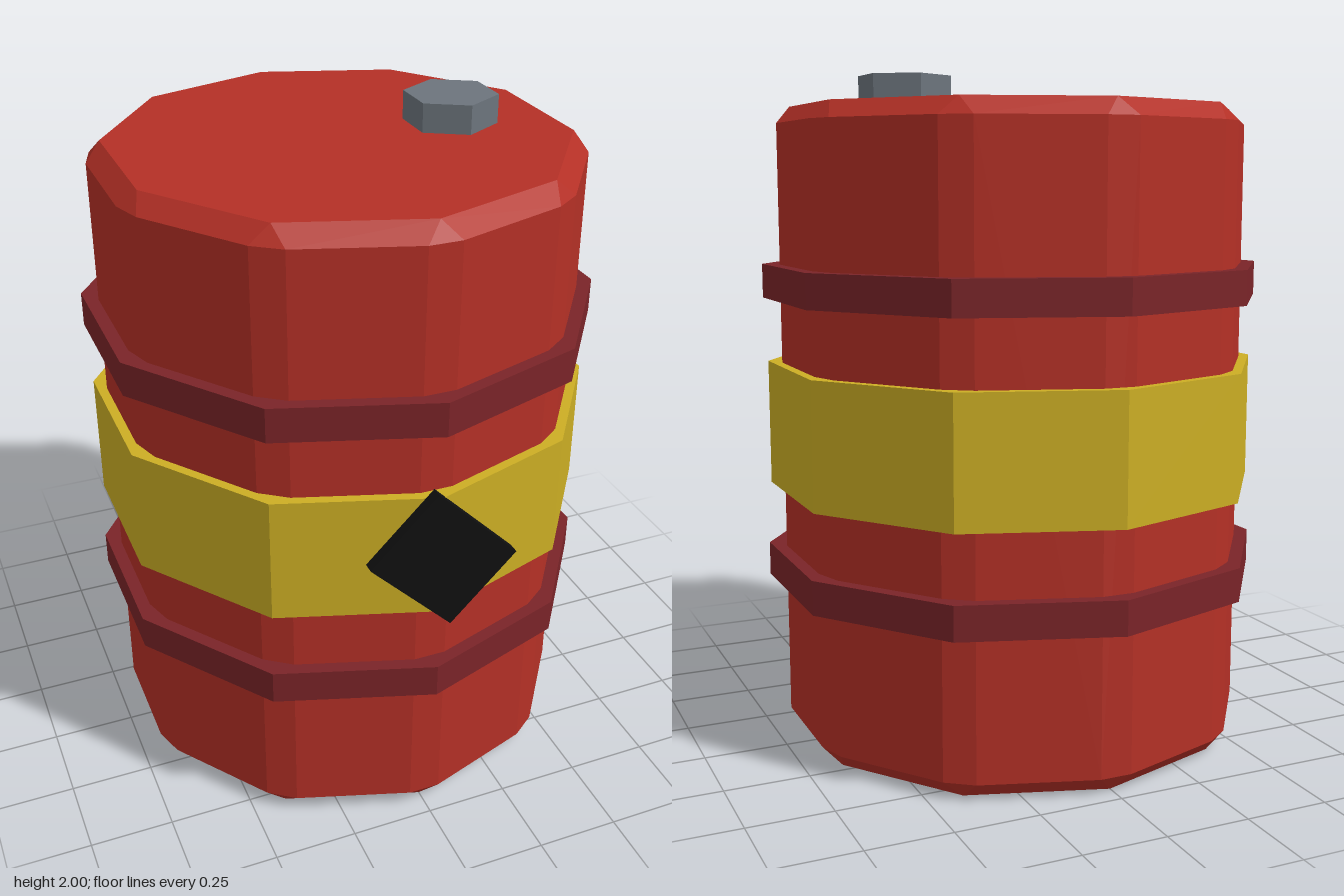
import * as THREE from 'three';
import { ConvexGeometry } from 'three/addons/geometries/ConvexGeometry.js';

const SIDES = 10;
const CENTER_Z = -0.007;

function material(name, color) {
  const m = new THREE.MeshStandardMaterial({ color, flatShading: true });
  m.name = name;
  return m;
}

// Ten-sided drum with a chamfer on the rims and on the upright edges
function drumGeometry(radius, height, bevel) {
  const points = [];
  const step = (Math.PI * 2) / SIDES;
  const apothem = radius * Math.cos(step / 2);
  const capRadius = (apothem - bevel) / Math.cos(step / 2);
  const halfFlat = radius * Math.sin(step / 2) - bevel;
  for (let i = 0; i < SIDES; i++) {
    const corner = i * step;
    for (const y of [0, height]) {
      points.push(new THREE.Vector3(Math.sin(corner) * capRadius, y, Math.cos(corner) * capRadius));
    }
    const mid = corner + step / 2;
    for (const y of [bevel, height - bevel]) {
      for (const s of [-halfFlat, halfFlat]) {
        points.push(new THREE.Vector3(
          Math.sin(mid) * apothem + Math.cos(mid) * s, y,
          Math.cos(mid) * apothem - Math.sin(mid) * s));
      }
    }
  }
  return new ConvexGeometry(points);
}

export function createModel() {
  const group = new THREE.Group();
  group.name = 'barrel';

  const red = material('red paint', 0xb43026);
  const darkRed = material('dark red hoop', 0x7a2428);
  const yellow = material('yellow band', 0xccae24);
  const grey = material('grey metal', 0x6c747c);
  const black = material('black label', 0x101010);

  function add(name, geometry, mat, x, y, z) {
    const mesh = new THREE.Mesh(geometry, mat);
    mesh.name = name;
    mesh.position.set(x, y, z);
    group.add(mesh);
    return mesh;
  }

  // Drum body
  add('body', drumGeometry(0.7255, 1.915, 0.05), red, 0, 0, CENTER_Z);

  // Two raised hoops
  const hoop = new THREE.CylinderGeometry(0.766, 0.766, 0.102, SIDES);
  add('lowerHoop', hoop, darkRed, 0, 0.526, CENTER_Z);
  add('upperHoop', hoop, darkRed, 0, 1.396, CENTER_Z);

  // Wide warning band
  add('warningBand', new THREE.CylinderGeometry(0.755, 0.755, 0.38, SIDES), yellow, 0, 0.96, CENTER_Z);

  // Hexagonal filler cap on the lid
  add('fillerCap', new THREE.CylinderGeometry(0.138, 0.138, 0.1, 6), grey, 0.348, 1.95, CENTER_Z);

  // Turned rectangular label plate on the front
  const label = add('label', new THREE.BoxGeometry(0.346, 0.276, 0.034), black, 0, 0.96, 0.757);
  label.rotation.z = -Math.PI / 4;

  return group;
}
